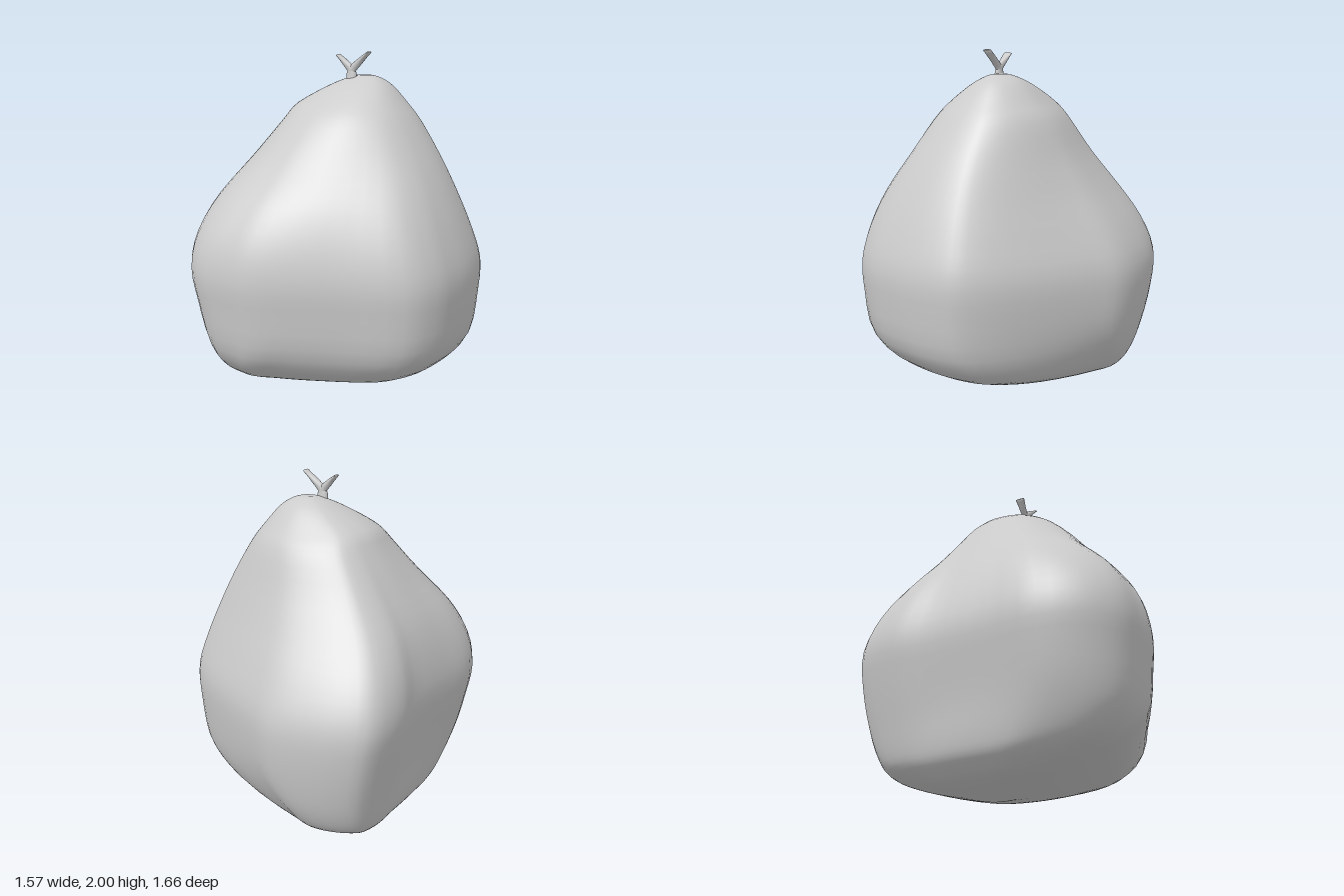
import * as THREE from 'three';

const V = (x, y, z) => new THREE.Vector3(x, y, z);
const spline = (points, closed = false) => new THREE.CatmullRomCurve3(points, closed, 'catmullrom', 0.5);

// Smooth closed skin over rings that run from bottom to top
function loft(rings) {
  const n = rings[0].length, last = rings.length - 1;
  const points = rings.flat();
  const index = [];
  const centre = ring => ring.reduce((s, p) => s.add(p), V(0, 0, 0)).divideScalar(n);
  const bottom = points.push(centre(rings[0])) - 1;
  const top = points.push(centre(rings[last])) - 1;
  for (let j = 0; j < n; j++) {
    const k = (j + 1) % n;
    for (let i = 0; i < last; i++) {
      const a = i * n + j, b = i * n + k;
      index.push(a, a + n, b, b, a + n, b + n);
    }
    index.push(bottom, j, k, top, last * n + k, last * n + j);
  }
  const geometry = new THREE.BufferGeometry().setFromPoints(points);
  geometry.setIndex(index);
  geometry.computeVertexNormals();
  return geometry;
}

// Three-lobed plan outline at the widest level (x, z)
const OUTLINE = [
  [0.78, 0], [0.76, 0.2], [0.72, 0.36], [0.6, 0.52], [0.3, 0.64], [0, 0.76],
  [-0.2, 0.82], [-0.35, 0.815], [-0.55, 0.78], [-0.7, 0.64], [-0.785, 0.4], [-0.75, 0.1],
  [-0.72, -0.25], [-0.735, -0.48], [-0.68, -0.7], [-0.55, -0.78], [-0.35, -0.82], [-0.12, -0.82],
  [0.08, -0.73], [0.48, -0.51], [0.69, -0.35], [0.76, -0.22],
];

// Height, then reach of the body: x min, x max, z min, z max
const LEVELS = [
  [0, -0.42, -0.1, -0.28, 0.05],
  [0.03, -0.52, 0.03, -0.42, 0.25],
  [0.07, -0.58, 0.23, -0.55, 0.4],
  [0.12, -0.63, 0.4, -0.66, 0.53],
  [0.2, -0.66, 0.6, -0.725, 0.67],
  [0.35, -0.695, 0.735, -0.78, 0.775],
  [0.6, -0.75, 0.775, -0.82, 0.81],
  [0.8, -0.782, 0.78, -0.815, 0.825],
  [1.0, -0.75, 0.72, -0.73, 0.78],
  [1.2, -0.67, 0.635, -0.61, 0.67],
  [1.4, -0.54, 0.53, -0.5, 0.5],
  [1.6, -0.405, 0.4, -0.41, 0.345],
  [1.7, -0.33, 0.32, -0.33, 0.24],
  [1.8, -0.15, 0.23, -0.24, 0.09],
  [1.845, -0.04, 0.16, -0.17, 0],
  [1.86, 0.01, 0.11, -0.12, -0.04],
];

function bodyGeometry() {
  const plan = spline(OUTLINE.map(([x, z]) => V(x, 0, z)), true).getPoints(66).slice(0, -1);
  const spanX = spline(LEVELS.map(l => V(l[1], l[0], l[2])));
  const spanZ = spline(LEVELS.map(l => V(l[3], l[0], l[4])));
  const rings = [];
  const steps = (LEVELS.length - 1) * 3;
  for (let i = 0; i <= steps; i++) {
    const sx = spanX.getPoint(i / steps), sz = spanZ.getPoint(i / steps);
    const y = sx.y;
    // The axis drifts, and the section grows rounder towards the top
    const up = THREE.MathUtils.smoothstep(y, 0.9, 1.86);
    const down = 1 - THREE.MathUtils.smoothstep(y, 0, 0.5);
    const cx = 0.06 * up - 0.26 * down, cz = -0.08 * up - 0.1 * down;
    const round = 0.75 * up + 0.3 * down;
    rings.push(plan.map(p => {
      const a = Math.atan2(p.z, p.x);
      const u = THREE.MathUtils.lerp(p.x / 0.783, Math.cos(a), round);
      const w = THREE.MathUtils.lerp(p.z / 0.822, Math.sin(a), round);
      return V(
        cx + u * (u > 0 ? sx.z - cx : cx - sx.x), y,
        cz + w * (w > 0 ? sz.z - cz : cz - sz.x));
    }));
  }
  return loft(rings);
}

// One prong of the forked stem, flattening and widening towards its tip
function prongGeometry(tipX, tipY) {
  const path = spline([
    V(0, 1.82, -0.03), V(0, 1.885, -0.03),
    V(tipX * 0.45, 1.885 + (tipY - 1.885) * 0.5, -0.03), V(tipX, tipY, -0.028)]);
  const size = spline([
    V(0.036, 0.024, 0), V(0.026, 0.017, 0), V(0.019, 0.022, 0), V(0.007, 0.03, 0)]);
  const rings = [];
  for (let i = 0; i <= 12; i++) {
    const p = path.getPoint(i / 12), t = path.getTangent(i / 12), s = size.getPoint(i / 12);
    rings.push(Array.from({ length: 12 }, (_, j) => {
      const a = j / 12 * Math.PI * 2, side = Math.cos(a) * s.x;
      return V(p.x + t.y * side, p.y - t.x * side, p.z + Math.sin(a) * s.y);
    }));
  }
  return loft(rings);
}

export function createModel() {
  const material = new THREE.MeshStandardMaterial({ color: 0xcccccc });
  const model = new THREE.Group();
  model.name = 'lumpyFruit';
  const add = (name, geometry, parent = model) => {
    const mesh = new THREE.Mesh(geometry, material);
    mesh.name = name;
    parent.add(mesh);
  };

  add('fruitBody', bodyGeometry());

  const stem = new THREE.Group();
  stem.name = 'stem';
  model.add(stem);
  add('leftProng', prongGeometry(0.112, 1.994), stem);
  add('rightProng', prongGeometry(-0.086, 1.975), stem);
  return model;
}
